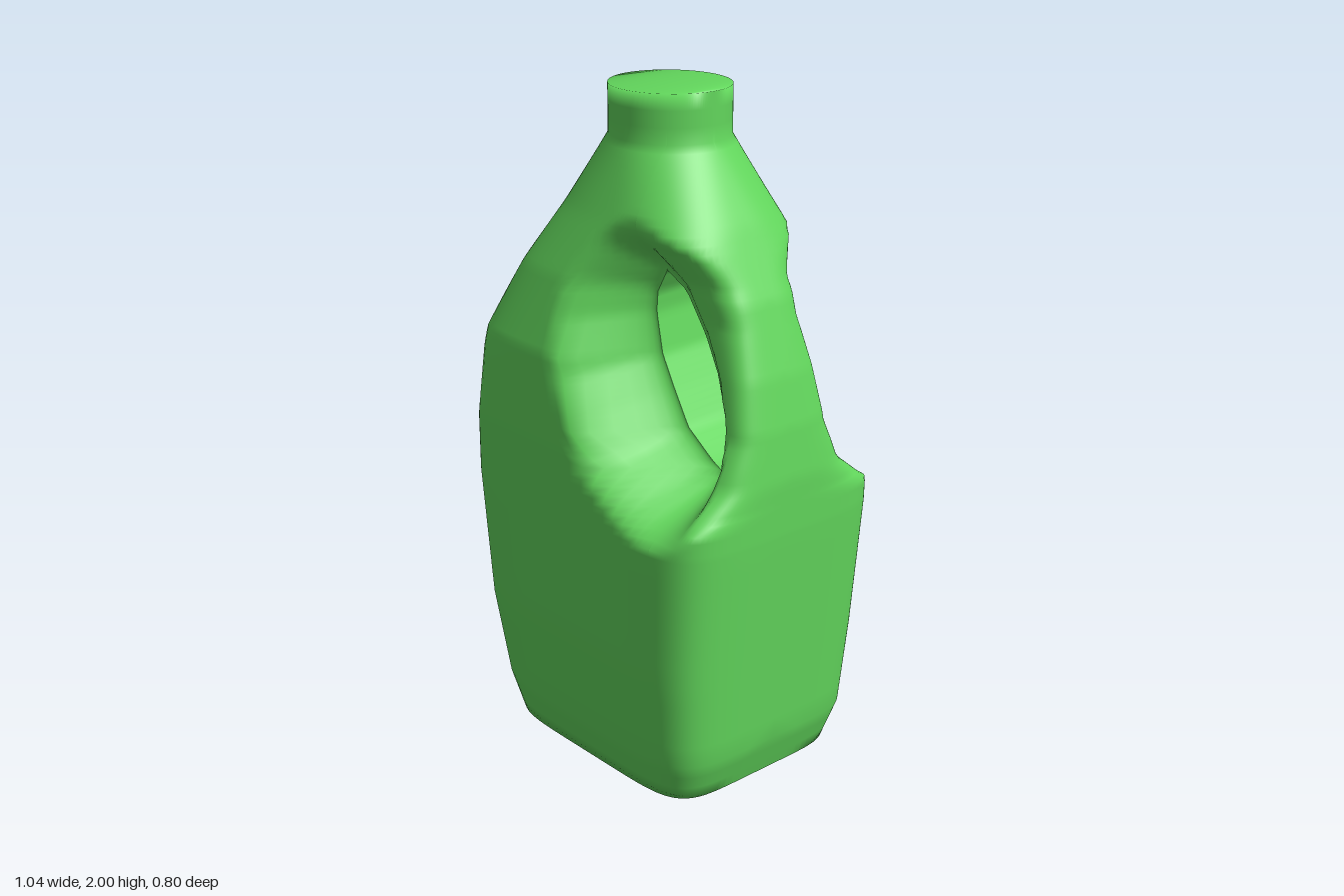
import * as THREE from 'three';
import { mergeVertices } from 'three/addons/utils/BufferGeometryUtils.js';

// Piecewise-linear lookup in [y, value] pairs
function at(table, y) {
  if (y <= table[0][0]) return table[0][1];
  for (let i = 1; i < table.length; i++) {
    const [y0, v0] = table[i - 1], [y1, v1] = table[i];
    if (y <= y1) return v0 + (v1 - v0) * (y - y0) / (y1 - y0);
  }
  return table[table.length - 1][1];
}

// Bottle outline by height: left edge, right edge, half depth, section squareness
const LEFT = [[0, -0.4], [0.13, -0.44], [0.4, -0.49], [0.8, -0.52], [0.97, -0.52], [1.26, -0.48], [1.46, -0.4], [1.65, -0.295], [1.86, -0.175]];
const RIGHT = [[0, 0.42], [0.13, 0.465], [0.4, 0.485], [0.8, 0.515], [0.97, 0.52], [1.12, 0.505], [1.26, 0.475], [1.46, 0.41], [1.65, 0.315], [1.86, 0.185]];
const DEPTH = [[0, 0.33], [0.13, 0.36], [0.4, 0.385], [0.8, 0.4], [1, 0.4], [1.26, 0.385], [1.48, 0.32], [1.65, 0.25], [1.86, 0.17]];
const SQUARE = [[0, 6], [1.2, 6], [1.46, 4], [1.65, 2.8], [1.86, 2]];

// Grip opening: its two edges, which meet at the lower and upper ends
const HOLE_LOW = 0.98, HOLE_HIGH = 1.51;
const HOLE_IN = [[0.98, 0.36], [1, 0.32], [1.07, 0.22], [1.17, 0.16], [1.26, 0.11], [1.38, 0.085], [1.44, 0.09], [1.51, 0.13]];
const HOLE_OUT = [[0.98, 0.36], [1.03, 0.375], [1.13, 0.375], [1.26, 0.34], [1.36, 0.29], [1.47, 0.21], [1.51, 0.13]];
// Half depth of the handle bar
const GRIP = [[0.84, 1.5], [0.9, 0.32], [0.97, 0.23], [1.1, 0.17], [1.4, 0.13], [1.5, 0.14], [1.6, 0.2], [1.7, 0.3], [1.8, 1.5]];
const RIM = 0.12, DISH = 0.17;

function distanceToHole(x, y) {
  let best = Infinity;
  for (const edge of [HOLE_IN, HOLE_OUT]) {
    for (let i = 1; i < edge.length; i++) {
      const [ay, ax] = edge[i - 1], [by, bx] = edge[i];
      const dx = bx - ax, dy = by - ay;
      const t = THREE.MathUtils.clamp(((x - ax) * dx + (y - ay) * dy) / (dx * dx + dy * dy), 0, 1);
      best = Math.min(best, Math.hypot(x - ax - dx * t, y - ay - dy * t));
    }
  }
  return best;
}

// Half depth of the surface at a point of the front outline
function halfDepth(x, y, onHandleSide) {
  const l = at(LEFT, y), r = at(RIGHT, y), n = at(SQUARE, y);
  const u = Math.min(1, Math.abs((x - (l + r) / 2) / ((r - l) / 2)));
  const full = at(DEPTH, y) * Math.pow(1 - Math.pow(u, n), 1 / n);
  // Dish around the opening
  const k = THREE.MathUtils.smoothstep(distanceToHole(x, y), 0, DISH);
  let z = THREE.MathUtils.lerp(Math.min(RIM, full), full, k);
  // Slim, rounded handle bar
  if (onHandleSide) {
    const b = at(HOLE_OUT, y);
    const v = THREE.MathUtils.clamp((x - b) / (r - b), 0, 1);
    z = Math.min(z, at(GRIP, y) * Math.pow(1 - Math.pow(v, 5), 0.25));
  }
  return z;
}

function bottleGeometry() {
  const COLS = 30;
  // Heights of the rings, denser around the opening
  const rows = [0];
  for (const [end, steps] of [[0.13, 3], [0.8, 10], [HOLE_LOW, 9], [HOLE_HIGH, 30], [1.86, 16], [2, 3]]) {
    const start = rows[rows.length - 1];
    for (let i = 1; i <= steps; i++) rows.push(start + (end - start) * i / steps);
  }

  const pos = [];
  const tri = (a, b, c) => pos.push(...a, ...b, ...c);
  const quad = (a, b, c, d, flip) => {
    if (flip) { tri(a, d, c); tri(a, c, b); } else { tri(a, b, c); tri(a, c, d); }
  };
  const back = ([x, y, z]) => [x, y, -z];

  // Two strips of surface, on either side of the opening
  for (const handleSide of [false, true]) {
    const grid = rows.map((y) => {
      const x0 = handleSide ? at(HOLE_OUT, y) : at(LEFT, y);
      const x1 = handleSide ? at(RIGHT, y) : at(HOLE_IN, y);
      return Array.from({ length: COLS + 1 }, (_, c) => {
        const x = THREE.MathUtils.lerp(x0, x1, THREE.MathUtils.smootherstep(c / COLS, 0, 1));
        return [x, y, halfDepth(x, y, handleSide)];
      });
    });
    const slit = handleSide ? 0 : COLS;
    for (let r = 0; r < rows.length - 1; r++) {
      const g = grid[r], h = grid[r + 1];
      for (let c = 0; c < COLS; c++) {
        quad(g[c], g[c + 1], h[c + 1], h[c], false);
        quad(back(g[c]), back(g[c + 1]), back(h[c + 1]), back(h[c]), true);
      }
      // Inner wall of the opening
      const mid = (rows[r] + rows[r + 1]) / 2;
      if (mid > HOLE_LOW && mid < HOLE_HIGH) {
        quad(g[slit], back(g[slit]), back(h[slit]), h[slit], handleSide);
      }
    }
    // Base and mouth
    for (const [ring, flip] of [[grid[0], false], [grid[rows.length - 1], true]]) {
      for (let c = 0; c < COLS; c++) quad(ring[c], back(ring[c]), back(ring[c + 1]), ring[c + 1], flip);
    }
  }

  let geometry = new THREE.BufferGeometry();
  geometry.setAttribute('position', new THREE.Float32BufferAttribute(pos, 3));
  geometry = mergeVertices(geometry, 1e-4);
  geometry.computeVertexNormals();
  return geometry;
}

export function createModel() {
  const group = new THREE.Group();
  group.name = 'jug';
  const bottle = new THREE.Mesh(bottleGeometry(), new THREE.MeshStandardMaterial({ color: 0x62d65c }));
  bottle.name = 'bottleWithHandle';
  group.add(bottle);
  return group;
}
